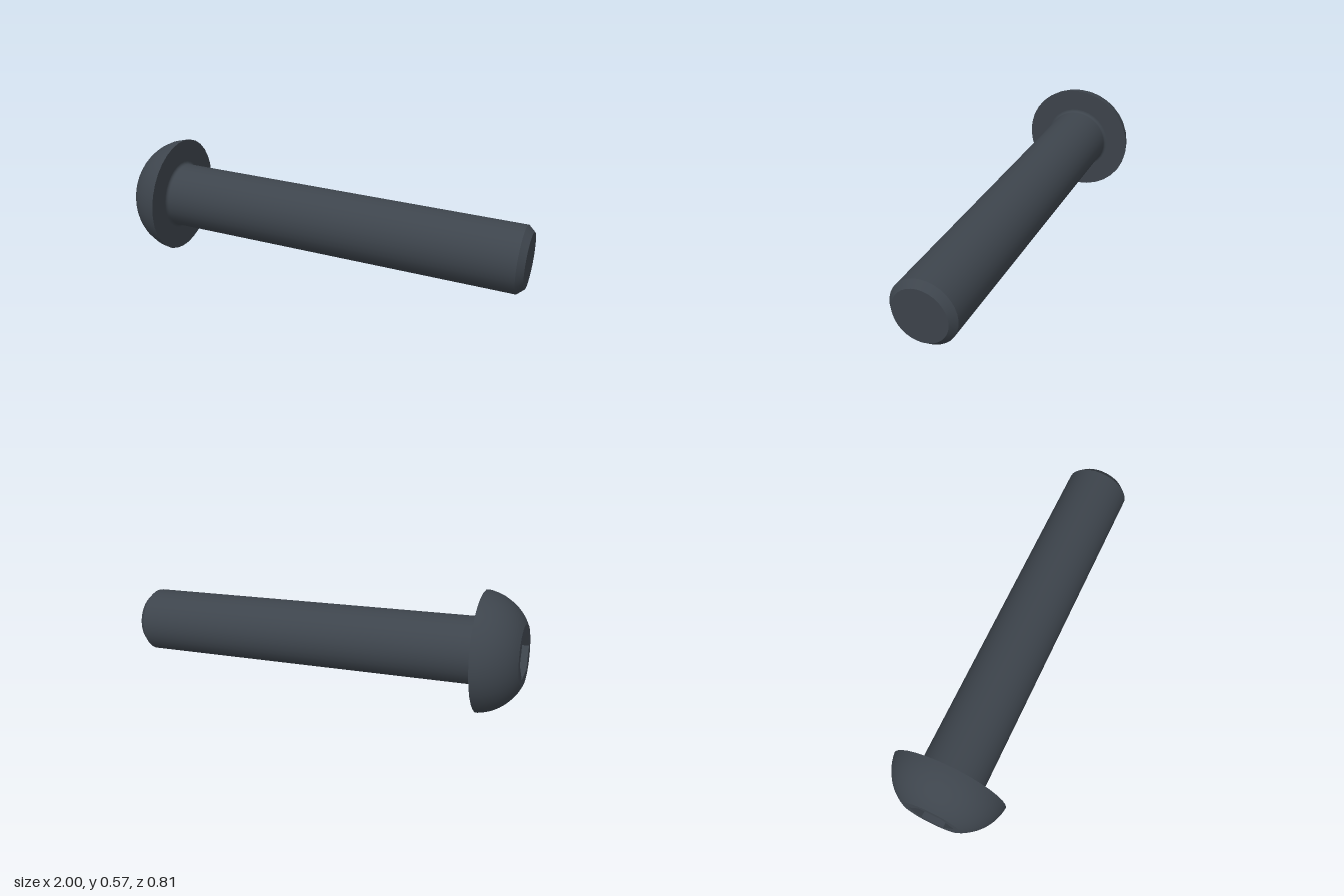
import * as THREE from 'three';

const SEGMENTS = 32;
const HEAD_R = 0.2875, HEAD_H = 0.19, FLAT_R = 0.145;   // button head
const SHANK_R = 0.16, LENGTH = 1.8, CHAMFER = 0.032;    // shank
const HEX_R = 0.113, HEX_DEPTH = 0.11;                  // hexagon socket

export function createModel() {
  const steel = new THREE.MeshStandardMaterial({ color: 0x3d444c, side: THREE.DoubleSide });
  steel.name = 'dark steel';

  const screw = new THREE.Group();
  screw.name = 'screw';
  const add = (name, geometry, y = 0) => {
    const mesh = new THREE.Mesh(geometry, steel);
    mesh.name = name;
    mesh.position.y = y;
    screw.add(mesh);
  };
  // Each turned surface is its own lathe so the edges between them stay sharp
  const turned = (name, points) =>
    add(name, new THREE.LatheGeometry(points.map(([r, y]) => new THREE.Vector2(r, y)), SEGMENTS));

  // Shank: flat tip, chamfer, and body flaring into a small fillet below the head
  const tipR = SHANK_R - 0.028, f = 0.014;
  turned('tip', [[0, -LENGTH], [tipR, -LENGTH]]);
  turned('tipChamfer', [[tipR, -LENGTH], [SHANK_R, -LENGTH + CHAMFER]]);
  const body = [[SHANK_R, -LENGTH + CHAMFER]];
  for (let i = 0; i <= 5; i++) {
    const a = (i / 5) * Math.PI / 2;
    body.push([SHANK_R + f * (1 - Math.cos(a)), -f * (1 - Math.sin(a))]);
  }
  turned('shank', body);

  // Head: flat underside and an arc from the rim to the flat top
  turned('headUnderside', [[SHANK_R + f, 0], [HEAD_R, 0]]);
  const chord = new THREE.Vector2(FLAT_R - HEAD_R, HEAD_H);
  const half = chord.length() / 2, sagitta = 0.031;
  const arcR = (half * half + sagitta * sagitta) / (2 * sagitta);
  const out = new THREE.Vector2(chord.y, -chord.x).normalize();
  const centre = new THREE.Vector2((FLAT_R + HEAD_R) / 2, HEAD_H / 2).addScaledVector(out, sagitta - arcR);
  const mid = out.angle(), spread = Math.asin(half / arcR);
  const dome = [];
  for (let i = 0; i <= 12; i++) {
    const a = mid + spread * (i / 6 - 1);
    dome.push([centre.x + arcR * Math.cos(a), centre.y + arcR * Math.sin(a)]);
  }
  turned('headDome', dome);

  // Flat top with a hexagonal opening
  const face = new THREE.Shape().absarc(0, 0, FLAT_R, 0, Math.PI * 2);
  const hex = [];
  for (let i = 0; i < 6; i++) {
    const a = Math.PI / 2 - i * Math.PI / 3;
    hex.push(new THREE.Vector2(HEX_R * Math.cos(a), HEX_R * Math.sin(a)));
  }
  face.holes.push(new THREE.Path(hex));
  add('headTop', new THREE.ShapeGeometry(face, SEGMENTS).rotateX(-Math.PI / 2), HEAD_H);

  // Socket walls and floor
  const walls = new THREE.CylinderGeometry(HEX_R, HEX_R, HEX_DEPTH, 6, 1, true).toNonIndexed();
  walls.computeVertexNormals();
  add('socketWalls', walls, HEAD_H - HEX_DEPTH / 2);
  add('socketFloor', new THREE.ShapeGeometry(new THREE.Shape(hex)).rotateX(-Math.PI / 2), HEAD_H - HEX_DEPTH);

  // Lay the screw down, resting on its head rim and its tip
  const up = new THREE.Vector3(-0.9756, 0.0712, -0.2078).normalize();
  const side = new THREE.Vector3(up.z, 0, -up.x).normalize();
  const across = new THREE.Vector3().crossVectors(up, side);
  screw.quaternion.setFromRotationMatrix(new THREE.Matrix4().makeBasis(across, up, side));
  screw.position.set(-0.783, 0.288, -0.122);

  const model = new THREE.Group();
  model.name = 'buttonHeadScrew';
  model.add(screw);
  return model;
}
